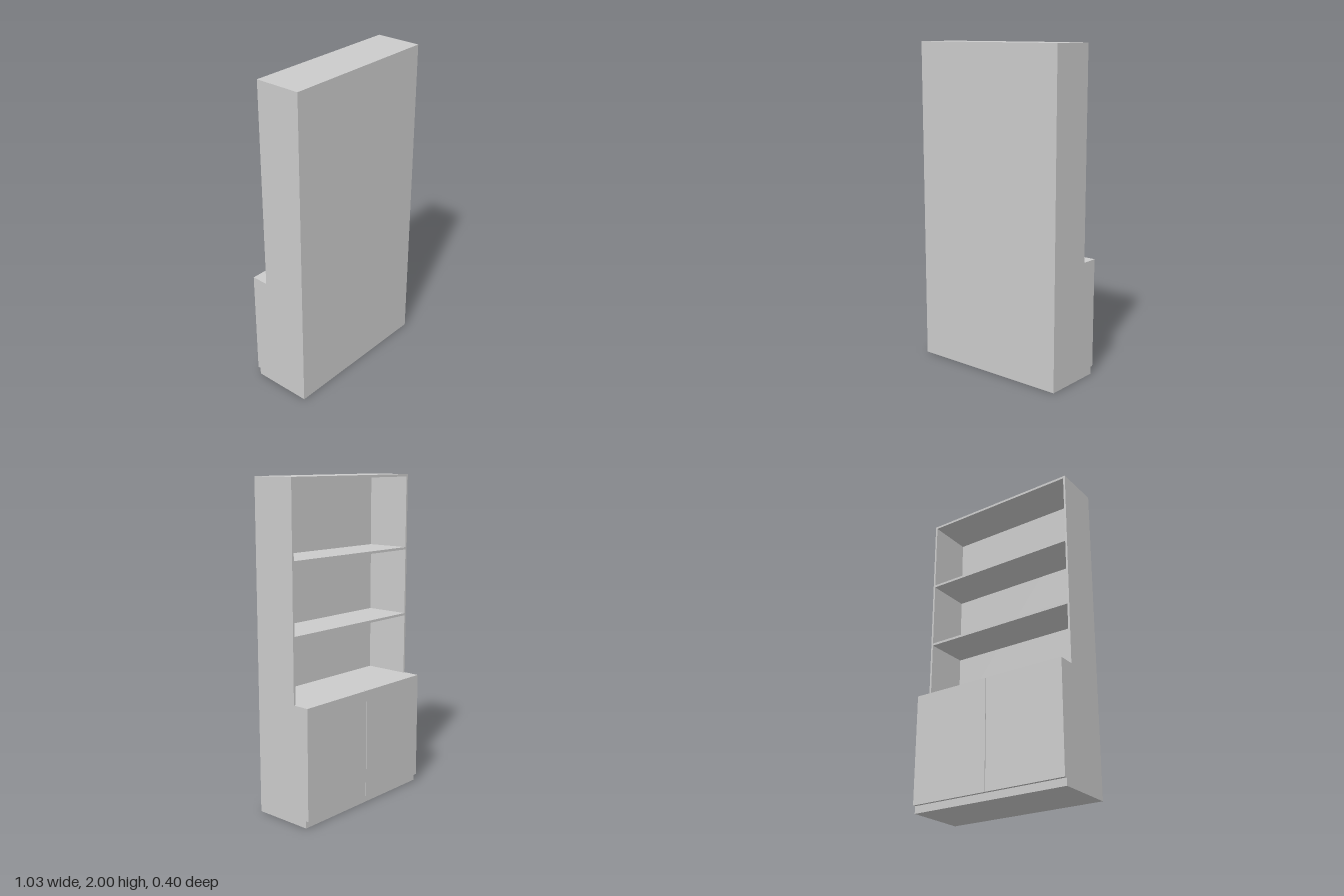
import * as THREE from 'three';

// Overall extents
const HALF_W = 0.515, HEIGHT = 2, Z_BACK = 0.198, Z_SHELF = -0.092, Z_DOOR = -0.198;
const COUNTER = 0.724, PLINTH = 0.045, PANEL = 0.013, BOARD = 0.015, DOOR = 0.018, GAP = 0.004;

export function createModel() {
  const group = new THREE.Group();
  const material = new THREE.MeshStandardMaterial({ color: 0xcccccc });

  // Box given by its minimum and maximum on each axis
  const box = (name, [x0, x1], [y0, y1], [z0, z1]) => {
    const mesh = new THREE.Mesh(new THREE.BoxGeometry(x1 - x0, y1 - y0, z1 - z0), material);
    mesh.position.set((x0 + x1) / 2, (y0 + y1) / 2, (z0 + z1) / 2);
    mesh.name = name;
    group.add(mesh);
  };

  // Base cabinet, its lower strip forming the recessed plinth
  const bodyFace = Z_DOOR + DOOR;
  box('baseCabinet', [-HALF_W, HALF_W], [0, COUNTER], [bodyFace, Z_BACK]);

  // Pair of doors with a narrow gap between them
  box('rightDoor', [-HALF_W, -GAP / 2], [PLINTH, COUNTER], [Z_DOOR, bodyFace]);
  box('leftDoor', [GAP / 2, HALF_W], [PLINTH, COUNTER], [Z_DOOR, bodyFace]);

  // Upper bookcase: side panels, top and thin rear panel
  const inner = HALF_W - PANEL, rear = Z_BACK - 0.005;
  box('rightSide', [-HALF_W, -inner], [COUNTER, HEIGHT], [Z_SHELF, Z_BACK]);
  box('leftSide', [inner, HALF_W], [COUNTER, HEIGHT], [Z_SHELF, Z_BACK]);
  box('topPanel', [-inner, inner], [HEIGHT - BOARD, HEIGHT], [Z_SHELF, Z_BACK]);
  box('rearPanel', [-inner, inner], [COUNTER, HEIGHT - BOARD], [rear, Z_BACK]);

  // Open shelves
  for (const top of [1.12, 1.545]) {
    box('shelf', [-inner, inner], [top - BOARD, top], [Z_SHELF, rear]);
  }
  return group;
}
